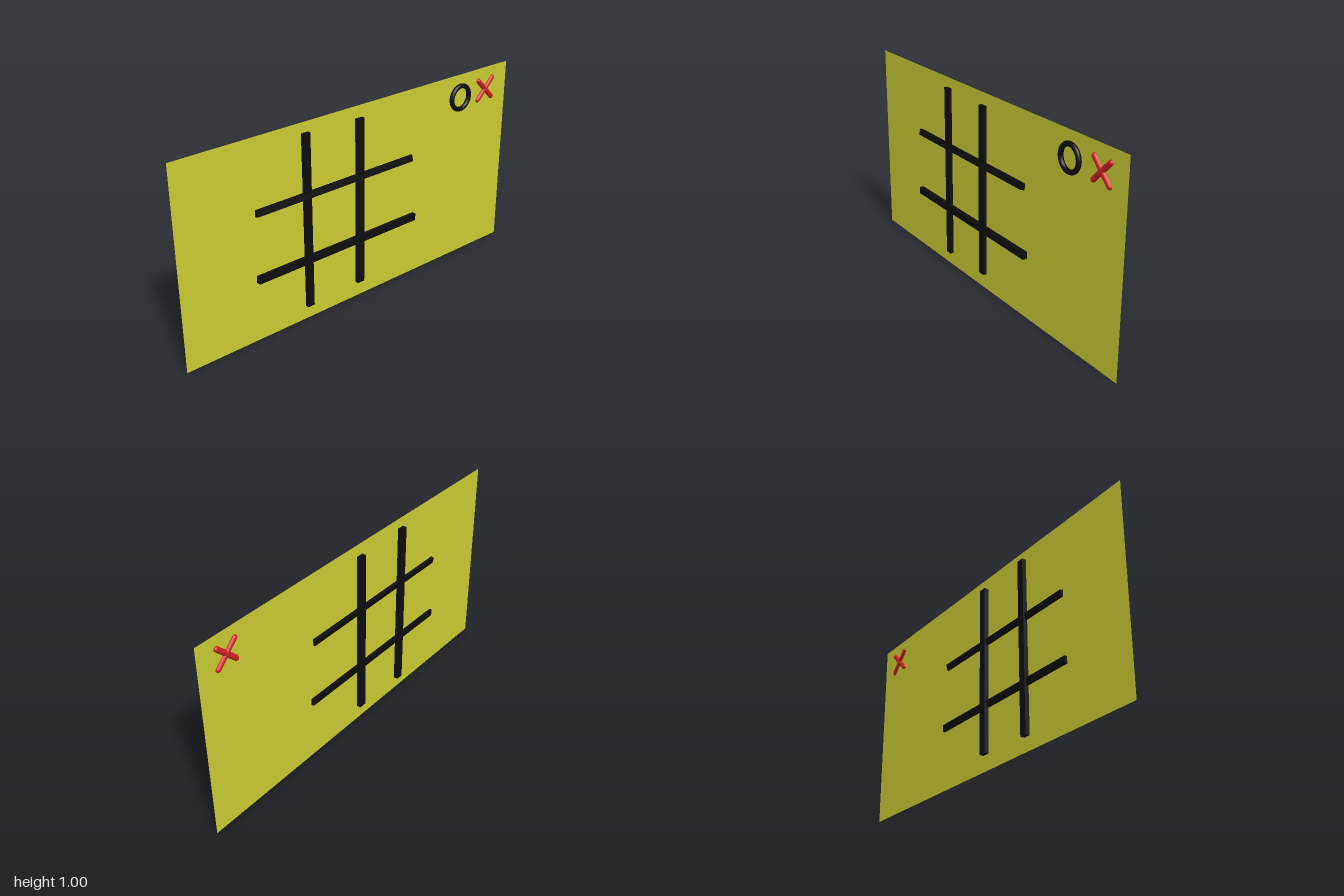
import * as THREE from 'three';

const material = (name, color, side = THREE.FrontSide) => {
  const m = new THREE.MeshStandardMaterial({ color, side });
  m.name = name;
  return m;
};

export function createModel() {
  const model = new THREE.Group();
  model.name = 'noughtsAndCrossesBoard';

  const yellow = material('yellow', 0xcccc33, THREE.DoubleSide);
  const black = material('black', 0x0d0d0d);
  const red = material('red', 0xcc2222);

  const add = (name, geometry, mat, x, y, z, parent = model) => {
    const mesh = new THREE.Mesh(geometry, mat);
    mesh.name = name;
    mesh.position.set(x, y, z);
    parent.add(mesh);
    return mesh;
  };

  // Board sheet, visible from both sides
  add('board', new THREE.PlaneGeometry(2, 1), yellow, 0, 0.5, 0);

  // Grid bars passing through the sheet
  const bar = (name, w, h, d, x, y, z) =>
    add(name, new THREE.BoxGeometry(w, h, d), black, x, y, z);
  bar('leftUpright', 0.038, 0.88, 0.04, -0.321, 0.51, -0.002);
  bar('rightUpright', 0.041, 0.86, 0.04, -0.009, 0.51, -0.002);
  bar('lowerCrossbar', 0.96, 0.035, 0.035, -0.13, 0.322, 0.005);
  const upper = bar('upperCrossbar', 0.925, 0.032, 0.032, -0.138, 0.648, 0.003);
  upper.rotation.x = -0.26; // slightly rolled

  // Nought on the front
  add('nought', new THREE.TorusGeometry(0.06, 0.012, 16, 48), black, 0.652, 0.885, 0.013);

  // Cross of two round-ended strokes
  const cross = new THREE.Group();
  cross.name = 'cross';
  cross.position.set(0.843, 0.886, 0);
  model.add(cross);
  for (const side of [-1, 1]) {
    const stroke = add('crossStroke', new THREE.CapsuleGeometry(0.013, 0.142, 8, 20), red, 0, 0, 0, cross);
    stroke.rotation.z = side * Math.PI / 4;
  }

  return model;
}
